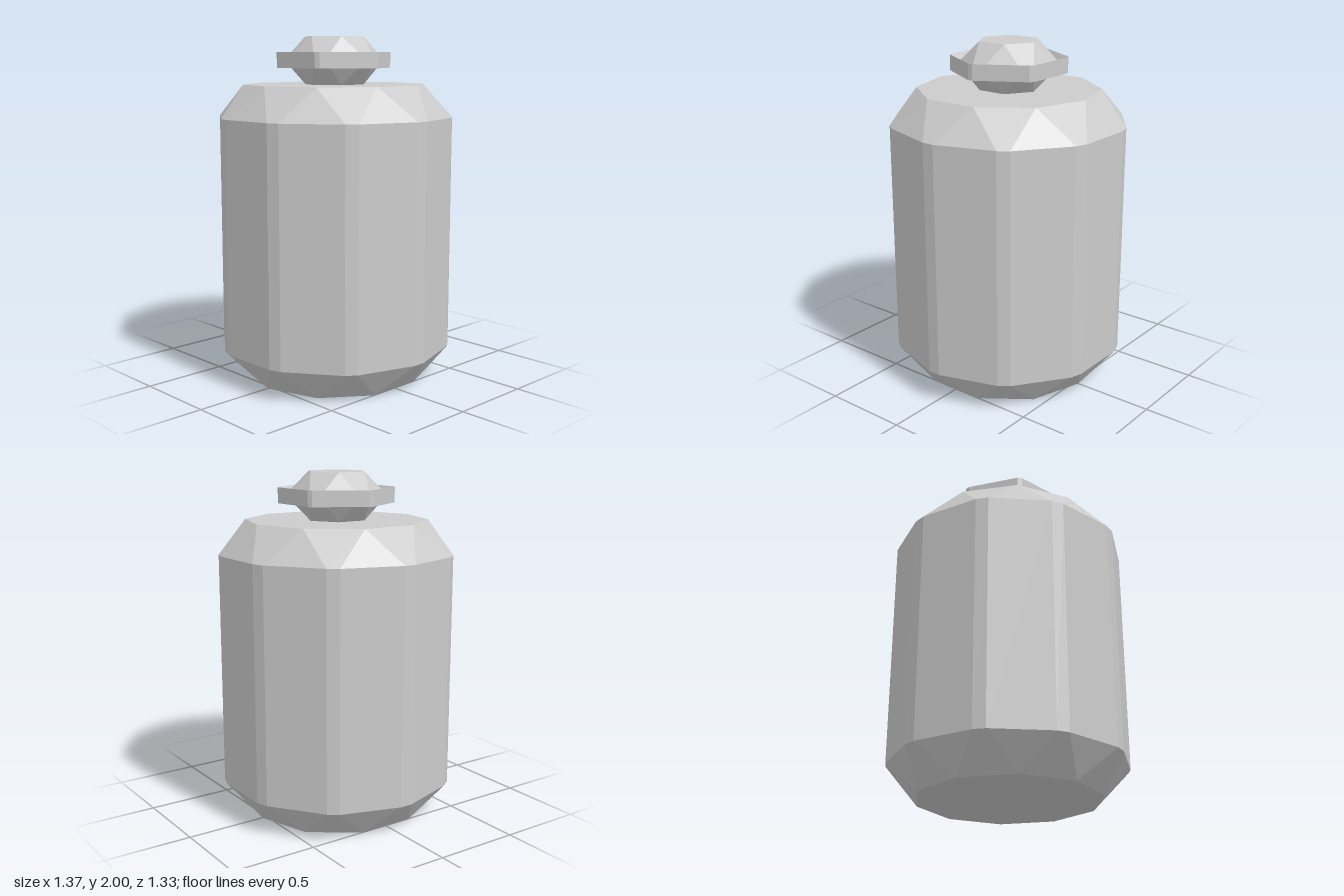
import * as THREE from 'three';

const material = new THREE.MeshStandardMaterial({ color: 0xcccccc, flatShading: true });

// Ring of n corners, each split into a pair of points `half` degrees either side.
// half = 180 / n merges neighbouring pairs into a plain polygon.
function ring(n, r, y, half) {
  const points = [];
  for (let k = 0; k < n; k++) {
    for (const s of [-1, 1]) {
      const a = THREE.MathUtils.degToRad((k + 0.5) * 360 / n + s * half);
      points.push(new THREE.Vector3(r * Math.sin(a), y, r * Math.cos(a)));
    }
  }
  return points;
}

// Joins [radius, y, half] sections by flat facets, optionally capped at both ends.
function loft(name, n, sections, capped) {
  const positions = [];
  const area = new THREE.Triangle();
  const tri = (a, b, c) => {
    if (area.set(a, b, c).getArea() < 1e-7) return;
    for (const p of [a, b, c]) positions.push(p.x, p.y, p.z);
  };
  const rings = sections.map(([r, y, half]) => ring(n, r, y, half));
  const count = 2 * n;
  for (let i = 0; i < rings.length - 1; i++) {
    const lo = rings[i], hi = rings[i + 1];
    for (let j = 0; j < count; j++) {
      const k = (j + 1) % count;
      tri(lo[j], lo[k], hi[k]);
      tri(lo[j], hi[k], hi[j]);
    }
  }
  if (capped) {
    const first = rings[0], last = rings[rings.length - 1];
    const c0 = new THREE.Vector3(0, first[0].y, 0);
    const c1 = new THREE.Vector3(0, last[0].y, 0);
    for (let j = 0; j < count; j++) {
      const k = (j + 1) % count;
      tri(c0, first[k], first[j]);
      tri(c1, last[j], last[k]);
    }
  }
  const geometry = new THREE.BufferGeometry();
  geometry.setAttribute('position', new THREE.Float32BufferAttribute(positions, 3));
  geometry.computeVertexNormals();
  const mesh = new THREE.Mesh(geometry, material);
  mesh.name = name;
  return mesh;
}

export function createModel() {
  const model = new THREE.Group();
  model.name = 'jar';

  // Ten-sided body with faceted shoulders
  model.add(loft('body', 10, [
    [0.53, 0, 18], [0.687, 0.187, 3], [0.687, 1.54, 3], [0.53, 1.725, 18],
  ], true));

  // Six-sided gem-shaped knob
  model.add(loft('knob', 6, [
    [0.177, 1.725, 30], [0.292, 1.865, 6], [0.177, 2, 30],
  ], true));

  // Collar flaring out from the knob's waist to a thin rim
  model.add(loft('collar', 6, [
    [0.292, 1.865, 6], [0.337, 1.82, 2.3], [0.337, 1.91, 2.3], [0.292, 1.865, 6],
  ], false));

  return model;
}
